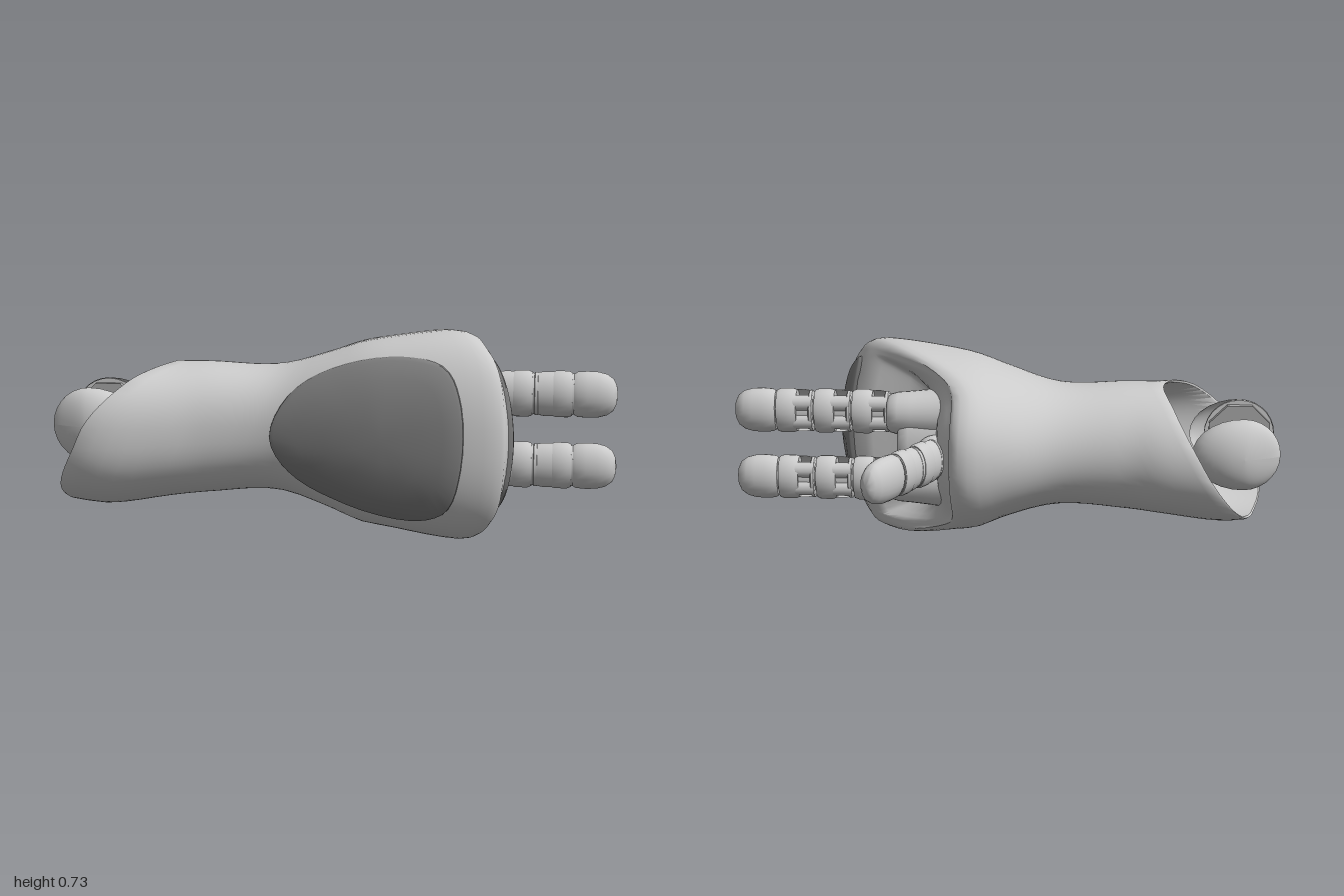
import * as THREE from 'three';
import { toCreasedNormals } from 'three/addons/utils/BufferGeometryUtils.js';

const YC = 0.367;
const material = (color) => new THREE.MeshStandardMaterial({ color, side: THREE.DoubleSide });
const grey = material(0xcccccc), dark = material(0x808080), mid = material(0xa8a8a8);

// Smooth lookup of column c in a table whose first column is the key
function look(t, x, c = 1) {
  const n = t.length - 1;
  if (x <= t[0][0]) return t[0][c];
  if (x >= t[n][0]) return t[n][c];
  let i = 0;
  while (x > t[i + 1][0]) i++;
  const slope = (k) => {
    const a = t[Math.max(k - 1, 0)], b = t[Math.min(k + 1, n)];
    return (b[c] - a[c]) / (b[0] - a[0]);
  };
  const h = t[i + 1][0] - t[i][0], s = (x - t[i][0]) / h, s2 = s * s, s3 = s2 * s;
  return (2 * s3 - 3 * s2 + 1) * t[i][c] + (s3 - 2 * s2 + s) * h * slope(i)
    + (3 * s2 - 2 * s3) * t[i + 1][c] + (s3 - s2) * h * slope(i + 1);
}

// Skin over closed rings of [x, y, z] points
function loft(rings, crease = 0.7) {
  const n = rings[0].length, index = [];
  for (let i = 0; i < rings.length - 1; i++) {
    for (let j = 0; j < n; j++) {
      const k = (j + 1) % n, a = i * n + j, b = a + n, c = i * n + k, d = c + n;
      index.push(a, b, c, b, d, c);
    }
  }
  const g = new THREE.BufferGeometry();
  g.setAttribute('position', new THREE.Float32BufferAttribute(rings.flat(2), 3));
  g.setIndex(index);
  return toCreasedNormals(g, crease);
}

function add(parent, name, geo, mat = grey, x = 0, y = 0, z = 0) {
  const m = new THREE.Mesh(geo, mat);
  m.name = name;
  m.position.set(x, y, z);
  parent.add(m);
}

// Sleeve sections: x, top, bottom, back z, front z, z of widest point
const SECTIONS = [
  [-0.96, 0.62, 0.1, -0.11, 0.4, 0.15], [-0.8, 0.62, 0.085, -0.13, 0.42, 0.15],
  [-0.58, 0.6, 0.115, -0.125, 0.38, 0.13], [-0.45, 0.6, 0.13, -0.1, 0.355, 0.13],
  [-0.2, 0.595, 0.145, -0.105, 0.345, 0.13], [0, 0.65, 0.09, -0.18, 0.39, 0.17],
  [0.1, 0.685, 0.05, -0.215, 0.41, 0.185], [0.2, 0.705, 0.035, -0.222, 0.425, 0.2],
  [0.43, 0.735, 0, -0.222, 0.44, 0.21], [0.65, 0.735, 0, -0.222, 0.43, 0.21],
];
// Elbow rim x by eighth of a turn, starting at the front and going over the top
const RIM = [-0.87, -0.71, -0.58, -0.62, -0.72, -0.84, -0.92, -0.955];
const RIM_TABLE = [-1, 0, 1, 2, 3, 4, 5, 6, 7, 8, 9].map((k) => [k, RIM[(k + 8) % 8]]);
// Slanted hand opening: x by z
const MOUTH = [[-0.21, 0.19], [-0.05, 0.2], [0.12, 0.4], [0.23, 0.58], [0.3, 0.62], [0.38, 0.635], [0.45, 0.6]];

const mouthX = (y, z) =>
  look(MOUTH, z) - 0.1 * THREE.MathUtils.smoothstep(z, 0.1, 0.25) * ((y - YC) / 0.37) ** 2;

function section(x, a, s = 1) {
  const [top, bot, zb, zf, zc] = [1, 2, 3, 4, 5].map((c) => look(SECTIONS, x, c));
  // the back of the flared cuff is a little squarer than the round forearm
  const e = 2 / (Math.cos(a) > 0 ? 2.3 : 2 + 0.2 * THREE.MathUtils.smoothstep(x, -0.1, 0.15));
  const cs = Math.sign(Math.cos(a)) * Math.abs(Math.cos(a)) ** e;
  const sn = Math.sign(Math.sin(a)) * Math.abs(Math.sin(a)) ** e;
  return [x, (top + bot) / 2 + s * sn * (top - bot) / 2, zc + s * cs * (cs > 0 ? zf - zc : zc - zb)];
}

function frontZ(x, y) {
  const [top, bot, , zf, zc] = [1, 2, 3, 4, 5].map((c) => look(SECTIONS, x, c));
  const v = Math.min(1, Math.abs(y - (top + bot) / 2) / ((top - bot) / 2));
  return zc + (zf - zc) * (1 - v ** 2.3) ** (1 / 2.3);
}

// Hollow forearm: slanted bulkhead, inner wall, elbow rim, outer wall, rolled cuff, bowl
function sleeveGeometry() {
  const N = 64, cols = [];
  for (let j = 0; j < N; j++) {
    const a = (j / N) * Math.PI * 2;
    const xs = look(RIM_TABLE, (j / N) * 8);
    const xb = -0.61 + 0.07 * Math.sin(a);
    const col = [section(-0.61, a, 0), section(xb, a, 0.92), section((xs + xb) / 2, a, 0.94),
      section(xs + 0.005, a, 0.96), section(xs, a, 0.985)];
    const [, y9, z9] = section(0.5, a, 0.9);
    const xe = mouthX(y9, z9), x1 = xe - 0.07;
    for (let i = 0; i <= 24; i++) col.push(section(xs + 0.008 + (x1 - xs - 0.008) * i / 24, a));
    col.push(section(xe - 0.035, a, 0.985), section(xe - 0.012, a, 0.955), [xe, y9, z9]);
    // inner lip, eased to a straight edge along the thick front wall
    const yl = YC + (y9 - YC) * 0.93;
    const zl = -0.03 * Math.log(Math.exp(-z9 * 0.93 / 0.03) + Math.exp(-0.2 / 0.03));
    for (let i = 1; i <= 4; i++) {
      const y = y9 + (yl - y9) * i / 4, z = z9 + (zl - z9) * i / 4;
      col.push([mouthX(y, z), y, z]);
    }
    const xl = mouthX(yl, zl);
    for (const [s, t] of [[0.96, 0.1], [0.9, 0.28], [0.8, 0.55], [0.66, 0.82], [0.45, 0.97], [0, 1]])
      col.push([xl + (0.25 - xl) * t, YC + (yl - YC) * s, 0.05 + (zl - 0.05) * s]);
    cols.push(col);
  }
  return loft(cols[0].map((_, i) => cols.map((c) => c[i])), 0.85);
}

// Raised plate: outline in (u, v), place(u, v, lift) puts it on the surface
function plate(outline, cu, cv, lift, place) {
  const curve = new THREE.CatmullRomCurve3(outline.map(([u, v]) => new THREE.Vector3(u, v, 0)), true);
  const pts = curve.getPoints(48).slice(0, 48);
  const steps = [[0, lift], [0.25, lift], [0.5, lift], [0.75, lift], [0.95, lift], [0.985, lift * 0.7], [1, -0.02]];
  return loft(steps.map(([s, l]) => pts.map((p) => place(cu + (p.x - cu) * s, cv + (p.y - cv) * s, l))));
}

// Turned part along +x with an oval section; profile is [x, radius]
function turned(profile, sy, sz, half = false) {
  const g = new THREE.LatheGeometry(profile.map(([t, r]) => new THREE.Vector2(r, t)), half ? 12 : 24,
    half ? -Math.PI / 2 : 0, half ? Math.PI : Math.PI * 2);
  return toCreasedNormals(g.rotateZ(-Math.PI / 2).scale(1, sy, sz), 0.7);
}

// Jointed finger along +x, palm side facing -z
function finger(name, joints, pitch, tip, sy, sz) {
  const g = new THREE.Group();
  g.name = name;
  const collar = (w, r) => [[0, 0.5], [0, r * 0.93], [w * 0.2, r], [w * 0.8, r], [w, r * 0.93], [w, 0.5]];
  add(g, 'fingerCore', turned([[-0.04, 0.68], [joints * pitch + 0.02, 0.66]], sy, sz));
  for (let i = 0; i < joints; i++) {
    const x = i * pitch;
    add(g, 'jointCollar', turned(collar(pitch * 0.52, 1), sy, sz), grey, x + pitch * 0.44);
    add(g, 'jointRing', turned(collar(pitch * 0.12, 0.93), sy, sz), grey, x);
    add(g, 'backShell', turned([[0, 0.88], [pitch * 0.25, 0.96], [pitch * 0.75, 0.96], [pitch, 0.88]], sy, sz, true), grey, x);
    for (const s of [-1, 1]) {
      const rod = new THREE.CylinderGeometry(0.03, 0.03, pitch * 0.5, 12).rotateZ(Math.PI / 2);
      add(g, 'jointRod', rod, grey, x + pitch * 0.27, s * 0.034, -sz * 0.38);
    }
  }
  const ends = [[0, 0.5], [0, 0.88], [0.08, 0.97], [0.3, 1], [0.55, 0.98], [0.75, 0.88], [0.9, 0.68], [0.97, 0.4], [1, 0]];
  add(g, 'fingertip', turned(ends.map(([t, r]) => [t * tip, r]), sy, sz * 0.94), grey, joints * pitch);
  return g;
}

// Elbow cheek: half ball, flatter at its free end and drawn out into the sleeve
function cheekGeometry(side) {
  const g = new THREE.SphereGeometry(0.132, 28, 12, 0, Math.PI * 2, 0, Math.PI / 2).rotateX(side * Math.PI / 2);
  const p = g.attributes.position;
  for (let i = 0; i < p.count; i++) {
    const x = p.getX(i);
    p.setZ(i, p.getZ(i) * (0.38 + 0.24 * THREE.MathUtils.smoothstep(x, -0.13, 0.06)));
    if (x > 0) p.setX(i, x * 1.4);
  }
  g.computeVertexNormals();
  return g;
}

export function createModel() {
  const model = new THREE.Group();
  model.name = 'mechanicalForearm';
  add(model, 'forearmSleeve', sleeveGeometry());

  // Dark plates on the back of the hand and the cuff end
  const guard = [[-0.205, 0.36], [-0.13, 0.23], [0.05, 0.135], [0.3, 0.08], [0.42, 0.12], [0.475, 0.27],
    [0.475, 0.5], [0.42, 0.62], [0.28, 0.655], [0.05, 0.62], [-0.13, 0.52]];
  add(model, 'handGuardPlate', plate(guard, 0.2, YC, 0.015, (x, y, l) => [x, y, frontZ(x, y) + l]), dark);
  const cuff = [[0.655, 0.275], [0.62, 0.325], [0.53, 0.365], [YC, 0.38], [0.2, 0.365], [0.13, 0.325],
    [0.1, 0.28], [0.13, 0.253], [YC, 0.24], [0.6, 0.25]];
  add(model, 'cuffEndPlate', plate(cuff, YC, 0.31, 0.012, (y, z, l) => [mouthX(y, z) + l, y, z]), dark);

  // Elbow: two cheeks with flat backs and eight-sided inner discs
  for (const [s, z] of [[-1, -0.03], [1, 0.255]]) {
    add(model, 'elbowCheek', cheekGeometry(s), grey, -0.866, 0.38, z);
    const back = new THREE.CylinderGeometry(0.13, 0.13, 0.012, 28).rotateX(Math.PI / 2);
    add(model, 'elbowRim', back, grey, -0.866, 0.38, z);
    const disc = new THREE.CylinderGeometry(0.122, 0.122, 0.03, 8).rotateX(Math.PI / 2).rotateZ(Math.PI / 8);
    add(model, 'elbowDisc', toCreasedNormals(disc, 0.5), mid, -0.866, 0.38, z - s * 0.015);
  }

  // Palm web and thumb root
  const web = [[0, 1.15], [0.08, 1], [0.17, 0.95], [0.2, 0.85], [0.21, 0.7], [0.215, 0]];
  add(model, 'palm', turned(web, 0.15, 0.088), grey, 0.18, YC, 0.035);
  add(model, 'thumbRoot', new THREE.SphereGeometry(1, 28, 18).scale(0.07, 0.075, 0.06), grey, 0.25, YC, -0.06);

  // Fingers and thumb
  for (const s of [-1, 1]) {
    const y = YC + s * 0.128;
    const knuckle = [[0, 1.25], [0.08, 1.1], [0.16, 1], [0.21, 0.95], [0.24, 0.85], [0.25, 0.7], [0.25, 0]];
    add(model, 'knuckle', turned(knuckle, 0.083, 0.083), grey, 0.18, y, 0.048);
    const f = finger(s > 0 ? 'upperFinger' : 'lowerFinger', 3, 0.14, 0.154, 0.083, 0.061);
    f.position.set(0.425, y, 0.068);
    model.add(f);
  }
  const thumb = finger('thumb', 2, 0.115, 0.172, 0.082, 0.052);
  thumb.position.set(0.25, YC, -0.11);
  thumb.rotation.set(Math.PI, -Math.PI / 3, 0);
  model.add(thumb);
  return model;
}
